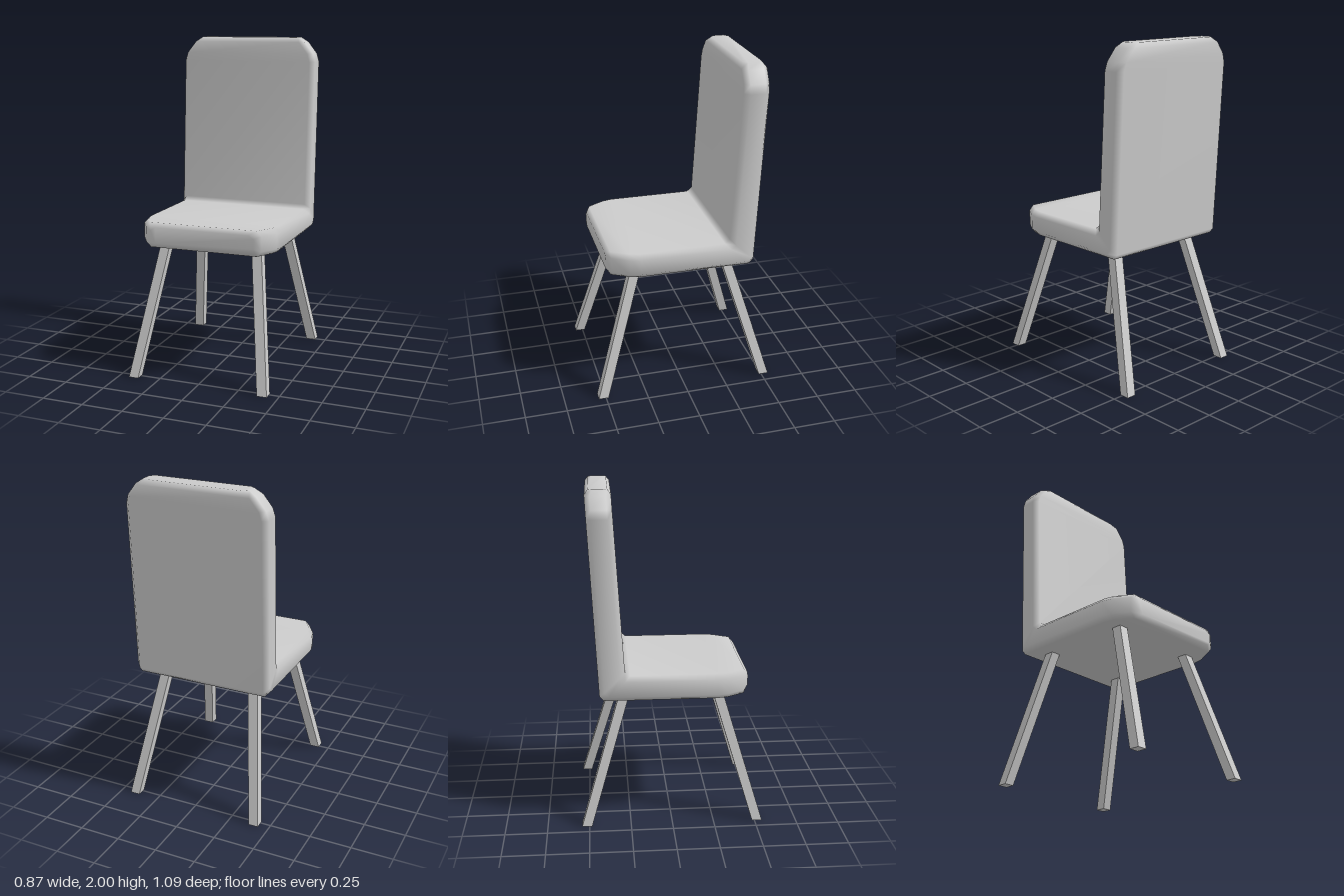
import * as THREE from 'three';

const grey = new THREE.MeshStandardMaterial({ color: 0xcccccc });
grey.name = 'light grey';

// Padded shell: chamfered cross-sections swept from the seat front to the top of the back.
// Each station: outer z, outer y, inner z, inner y, half width.
function createShell() {
  const stations = [
    [0.455, 0.82, 0.455, 0.915, 0.32],
    [0.43, 0.79, 0.43, 0.94, 0.36],
    [0.33, 0.79, 0.33, 0.94, 0.42],
    [0.27, 0.79, 0.27, 0.94, 0.435],
    [-0.40, 0.79, -0.245, 0.94, 0.435],
    [-0.425, 0.82, -0.275, 0.965, 0.435],
    [-0.478, 1.85, -0.329, 1.85, 0.435],
    [-0.481, 1.90, -0.332, 1.90, 0.42],
    [-0.485, 1.97, -0.335, 1.97, 0.365],
    [-0.465, 2.0, -0.355, 2.0, 0.32],
  ];
  const c = 0.03;
  const positions = [], index = [];
  for (const [oz, oy, iz, iy, w] of stations) {
    const loop = [
      [-w + c, 0], [w - c, 0], [w, 0.2], [w, 0.8],
      [w - c, 1], [-w + c, 1], [-w, 0.8], [-w, 0.2],
    ];
    for (const [x, t] of loop) positions.push(x, oy + (iy - oy) * t, oz + (iz - oz) * t);
  }
  const n = 8, last = (stations.length - 1) * n;
  for (let s = 0; s < last; s += n) {
    for (let i = 0; i < n; i++) {
      const j = (i + 1) % n;
      index.push(s + i, s + n + i, s + j, s + j, s + n + i, s + n + j);
    }
  }
  // End caps
  for (let i = 1; i < n - 1; i++) {
    index.push(0, i, i + 1);
    index.push(last, last + i + 1, last + i);
  }
  const geometry = new THREE.BufferGeometry();
  geometry.setAttribute('position', new THREE.Float32BufferAttribute(positions, 3));
  geometry.setIndex(index);
  geometry.computeVertexNormals();
  const mesh = new THREE.Mesh(geometry, grey);
  mesh.name = 'seatAndBackrest';
  return mesh;
}

// Square leg, sheared so it splays outward while its foot stays flat.
function createLeg(sx, sz, name) {
  const height = 0.8;
  const geometry = new THREE.BoxGeometry(0.06, height, 0.06).translate(0, height / 2, 0);
  const p = geometry.attributes.position;
  for (let i = 0; i < p.count; i++) {
    const t = p.getY(i) / height;
    p.setX(i, p.getX(i) + sx * THREE.MathUtils.lerp(0.406, 0.288, t));
    p.setZ(i, p.getZ(i) + sz * THREE.MathUtils.lerp(0.515, 0.277, t));
  }
  const flat = geometry.toNonIndexed();
  flat.computeVertexNormals();
  const mesh = new THREE.Mesh(flat, grey);
  mesh.name = name;
  return mesh;
}

export function createModel() {
  const chair = new THREE.Group();
  chair.name = 'chair';
  chair.add(createShell());
  for (const [sx, side] of [[1, 'Left'], [-1, 'Right']]) {
    chair.add(createLeg(sx, 1, `front${side}Leg`));
    chair.add(createLeg(sx, -1, `back${side}Leg`));
  }
  return chair;
}
